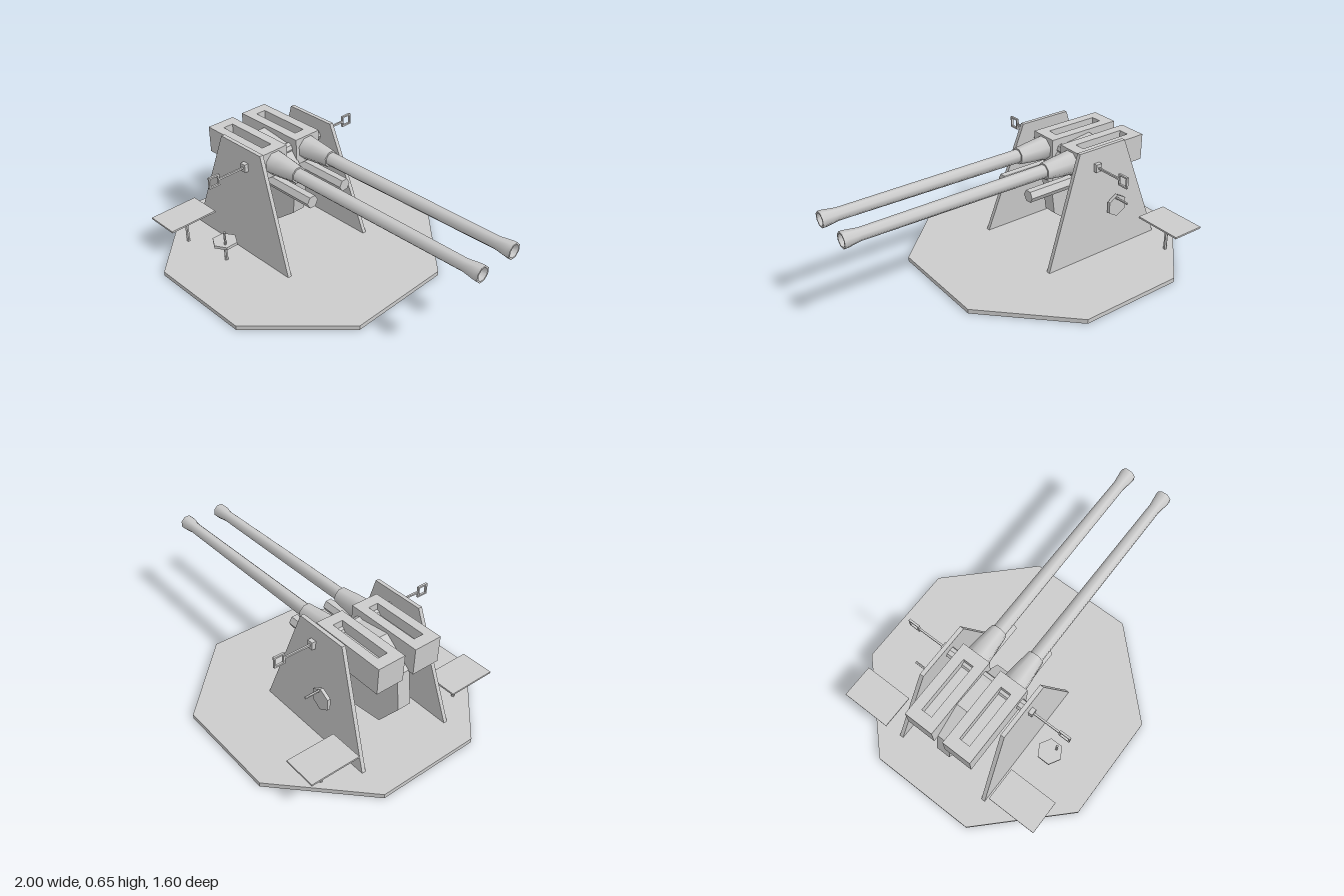
import * as THREE from 'three';
import { toCreasedNormals } from 'three/addons/utils/BufferGeometryUtils.js';

const grey = new THREE.MeshStandardMaterial({ color: 0xcccccc });
const flat = new THREE.MeshStandardMaterial({ color: 0xcccccc, flatShading: true });

function add(parent, name, geometry, x, y, z, material = flat) {
  const mesh = new THREE.Mesh(geometry, material);
  mesh.name = name;
  mesh.position.set(x, y, z);
  parent.add(mesh);
  return mesh;
}
const box = (p, name, w, h, d, x, y, z) => add(p, name, new THREE.BoxGeometry(w, h, d), x, y, z);

// Closed outline through [x, y] points
const outline = pts => pts.map(([x, y]) => new THREE.Vector2(x, y));
const rect = (x0, x1, y0, y1) => outline([[x0, y0], [x1, y0], [x1, y1], [x0, y1]]);

// Turned part along +x from [position, radius] points
function turned(points, sides) {
  const g = new THREE.LatheGeometry(points.map(([x, r]) => new THREE.Vector2(r, x)), sides, Math.PI / sides);
  return toCreasedNormals(g.rotateZ(-Math.PI / 2), 0.85);
}

// Trapezoid side plate, leaning inward towards the top
function sidePlate(side) {
  const thickness = 0.022;
  const shape = new THREE.Shape(outline([[-0.568, 0], [0.212, 0], [-0.02, 0.65], [-0.33, 0.65]]));
  const g = new THREE.ExtrudeGeometry(shape, { depth: thickness, bevelEnabled: false });
  const p = g.attributes.position;
  for (let i = 0; i < p.count; i++) {
    const outer = 0.297 - 0.04 * p.getY(i) / 0.65;
    p.setZ(i, side * outer + p.getZ(i) - (side > 0 ? thickness : 0));
  }
  g.computeVertexNormals();
  return g;
}

// One gun: slotted receiver, sleeve, hollow barrel and recoil cylinder
function makeGun(z) {
  const gun = new THREE.Group();
  gun.name = 'gun';
  gun.position.z = z;
  box(gun, 'receiverBody', 0.45, 0.09, 0.165, -0.295, 0.505, 0);
  const shape = new THREE.Shape(rect(-0.52, -0.07, -0.0825, 0.0825));
  shape.holes.push(new THREE.Path(rect(-0.455, -0.135, -0.03, 0.03)));
  const top = new THREE.ExtrudeGeometry(shape, { depth: 0.06, bevelEnabled: false }).rotateX(-Math.PI / 2);
  add(gun, 'receiverTop', top, 0, 0.55, 0);
  add(gun, 'barrelSleeve', turned([[-0.08, 0], [-0.08, 0.068], [0.0, 0.06], [0.11, 0.047], [0.11, 0]], 8), 0, 0.537, 0, grey);
  const barrel = [[0.1, 0], [0.1, 0.038], [1.17, 0.033], [1.24, 0.043], [1.26, 0.043],
    [1.26, 0.034], [1.18, 0.024], [1.18, 0]];
  add(gun, 'barrel', turned(barrel, 8), 0, 0.537, 0, grey);
  add(gun, 'recoilCylinder', new THREE.CylinderGeometry(0.036, 0.036, 0.5, 6).rotateZ(-Math.PI / 2), -0.04, 0.42, 0);
  return gun;
}

// Square ring sight on an arm reaching out from the side plate
function makeSight(side) {
  const sight = new THREE.Group();
  sight.name = 'sight';
  sight.position.set(-0.13, 0.55, 0);
  box(sight, 'sightMount', 0.035, 0.045, 0.03, 0, 0, side * 0.27);
  box(sight, 'sightArm', 0.01, 0.01, 0.17, 0, 0, side * 0.355);
  const shape = new THREE.Shape(rect(-0.032, 0.032, -0.032, 0.032));
  shape.holes.push(new THREE.Path(rect(-0.023, 0.023, -0.023, 0.023)));
  const ring = new THREE.ExtrudeGeometry(shape, { depth: 0.012, bevelEnabled: false });
  ring.translate(0, 0, -0.006).rotateY(Math.PI / 2);
  add(sight, 'sightFrame', ring, 0, 0, side * 0.47);
  return sight;
}

// Flat seat on a post
function makeSeat(x, z) {
  const seat = new THREE.Group();
  seat.name = 'seat';
  seat.position.set(x, 0, z);
  box(seat, 'seatBoard', 0.19, 0.01, 0.285, 0, 0.19, 0);
  add(seat, 'seatPost', new THREE.CylinderGeometry(0.01, 0.01, 0.188, 6), 0.015, 0.094, 0);
  return seat;
}

export function createModel() {
  const model = new THREE.Group();
  model.name = 'twinGunMount';

  // Everything is built with the guns along +x, then turned
  const mount = new THREE.Group();
  mount.name = 'mount';
  mount.position.set(-0.215, 0, 0.01);
  mount.rotation.y = -24.5 * Math.PI / 180;
  model.add(mount);

  add(mount, 'platform', new THREE.CylinderGeometry(0.785, 0.785, 0.025, 8, 1, false, Math.PI / 8), 0, 0.0125, 0);

  for (const side of [-1, 1]) {
    add(mount, 'sidePlate', sidePlate(side), 0, 0, 0);
    mount.add(makeGun(side * 0.116), makeSight(side));
  }
  mount.add(makeSeat(-0.487, -0.487), makeSeat(-0.455, 0.465));

  // Elevation drum between the guns and the trunnion carrying them
  const drum = new THREE.CylinderGeometry(0.265, 0.265, 0.08, 8).rotateX(Math.PI / 2).rotateZ(Math.PI / 12);
  add(mount, 'elevationDrum', drum, -0.26, 0.335, 0);
  add(mount, 'trunnion', new THREE.CylinderGeometry(0.03, 0.03, 0.49, 8).rotateX(Math.PI / 2), -0.13, 0.545, 0);

  // Upright handwheel on one side plate
  const upright = new THREE.Group();
  upright.name = 'elevationHandwheel';
  upright.position.set(-0.25, 0.3, -0.305);
  add(upright, 'wheel', new THREE.CylinderGeometry(0.065, 0.065, 0.018, 6).rotateX(Math.PI / 2), 0, 0, 0);
  add(upright, 'hub', new THREE.CylinderGeometry(0.015, 0.015, 0.05, 6).rotateX(Math.PI / 2), 0, 0, 0.02);
  add(upright, 'handle', new THREE.CylinderGeometry(0.007, 0.007, 0.09, 6).rotateX(Math.PI / 2), 0.01, 0.05, -0.05);
  mount.add(upright);

  // Level handwheel on a post at the other side
  const level = new THREE.Group();
  level.name = 'traverseHandwheel';
  level.position.set(-0.154, 0, 0.422);
  add(level, 'wheel', new THREE.CylinderGeometry(0.07, 0.07, 0.016, 6), 0, 0.142, 0);
  add(level, 'post', new THREE.CylinderGeometry(0.01, 0.01, 0.14, 6), 0, 0.07, 0);
  add(level, 'handle', new THREE.CylinderGeometry(0.007, 0.007, 0.085, 6), 0.03, 0.185, 0.02);
  mount.add(level);

  return model;
}
